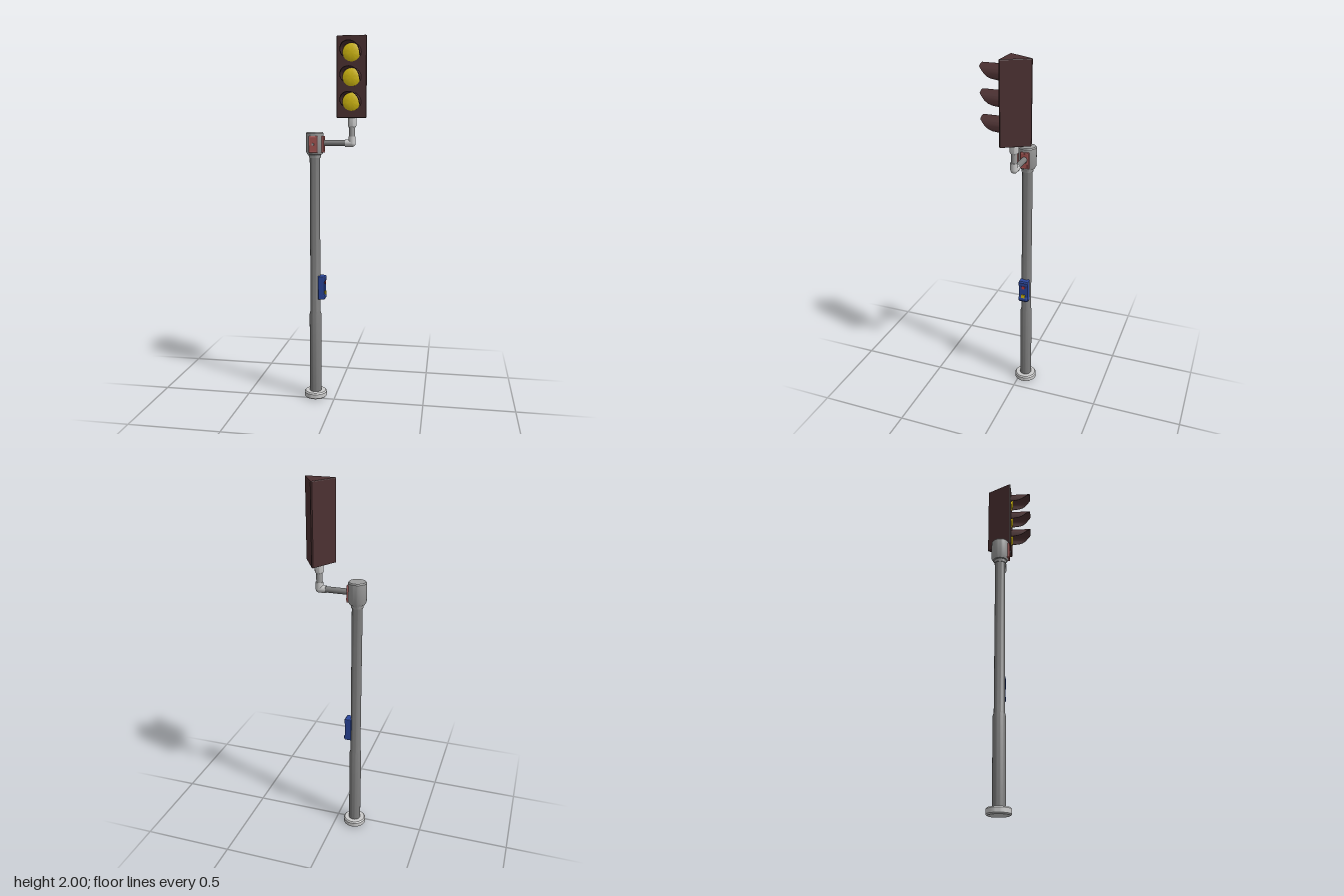
import * as THREE from 'three';
import { RoundedBoxGeometry } from 'three/addons/geometries/RoundedBoxGeometry.js';
import { toCreasedNormals } from 'three/addons/utils/BufferGeometryUtils.js';

const PX = -0.112, PZ = -0.036; // pole axis
const LX = 0.095;               // signal head centre

const mat = (color, extra = {}) => new THREE.MeshStandardMaterial({ color, ...extra });
const light = mat(0xcccccc), grey = mat(0x9c9c9c), dark = mat(0x7c7c7c);
const brown = mat(0x4b3031), brownThin = mat(0x4b3031, { side: THREE.DoubleSide });
const yellow = mat(0xdcc212), blue = mat(0x2b479c), red = mat(0xc83a40), pink = mat(0xbb6a68);

function add(parent, name, geometry, material, x = 0, y = 0, z = 0) {
  const mesh = new THREE.Mesh(geometry, material);
  mesh.name = name;
  mesh.position.set(x, y, z);
  parent.add(mesh);
  return mesh;
}

function lathe(points, segments = 40) {
  const g = new THREE.LatheGeometry(points.map(p => new THREE.Vector2(...p)), segments);
  return toCreasedNormals(g, 0.6);
}

// Hood: an arc of shell whose front edge is cut back towards its lower ends
function hoodGeometry() {
  const cut = [[0, 0.127], [43, 0.127], [60, 0.113], [82, 0.095], [100, 0.072], [108, 0.045], [112, 0.012]];
  const half = 14, pos = [], idx = [];
  for (let i = -half; i <= half; i++) {
    const deg = Math.abs(i) / half * 112;
    const k = Math.min(cut.findIndex(c => c[0] >= deg - 1e-6) || 1, cut.length - 1);
    const [a, b] = [cut[k - 1], cut[k]];
    const z = THREE.MathUtils.mapLinear(deg, a[0], b[0], a[1], b[1]);
    const t = i / half * 112 * Math.PI / 180;
    // loop of four: outer back, outer front, inner front, inner back
    for (const [r, zz] of [[0.051, 0.008], [0.051, z], [0.048, z], [0.048, 0.008]])
      pos.push(r * Math.sin(t), r * Math.cos(t), zz);
  }
  for (let i = 0; i < half * 2; i++)
    for (let j = 0; j < 4; j++) {
      const a = i * 4 + j, b = i * 4 + (j + 1) % 4;
      idx.push(a, b, a + 4, b, b + 4, a + 4);
    }
  const g = new THREE.BufferGeometry();
  g.setAttribute('position', new THREE.Float32BufferAttribute(pos, 3));
  g.setIndex(idx);
  return toCreasedNormals(g, 0.6);
}

// Small framed panel facing +z, with a button
function panel(name) {
  const g = new THREE.Group();
  g.name = name;
  add(g, 'panelFrame', new RoundedBoxGeometry(0.048, 0.09, 0.02, 2, 0.003), pink, 0, 0, 0.042);
  add(g, 'panelPlate', new THREE.BoxGeometry(0.034, 0.074, 0.004), mat(0xa85553), 0, 0, 0.052);
  const knob = add(g, 'panelButton', new THREE.CylinderGeometry(0.006, 0.007, 0.008, 16), grey, 0, 0, 0.057);
  knob.rotation.x = Math.PI / 2;
  return g;
}

function signalHead() {
  const head = new THREE.Group();
  head.name = 'signalHead';
  // Triangular housing with clipped corners and bevelled ends
  const s = new THREE.Shape([[0.004, 0.127], [-0.004, 0.127], [-0.08, -0.006], [-0.077, -0.012],
    [0.077, -0.012], [0.08, -0.006]].map(p => new THREE.Vector2(...p)));
  const housing = new THREE.ExtrudeGeometry(s, {
    depth: 0.415, bevelThickness: 0.005, bevelSize: 0.005, bevelOffset: -0.005, bevelSegments: 2 });
  housing.rotateX(-Math.PI / 2);
  add(head, 'housing', housing, brown, 0, 1.58, 0);
  // Lenses and hoods
  const lens = lathe([[0.047, 0], [0.047, 0.004], [0.036, 0.008], [0.02, 0.011], [0, 0.012]]);
  lens.rotateX(Math.PI / 2);
  const hood = hoodGeometry();
  for (const y of [1.659, 1.786, 1.913]) {
    add(head, 'lens', lens, yellow, 0, y, 0.01);
    add(head, 'hood', hood, brownThin, 0, y, 0);
  }
  head.position.x = LX;
  return head;
}

function callBox() {
  const box = new THREE.Group();
  box.name = 'callBox';
  // Side profile with a recessed middle
  const s = new THREE.Shape([[0, 0], [0.034, 0], [0.04, 0.008], [0.04, 0.022], [0.035, 0.032],
    [0.035, 0.098], [0.04, 0.108], [0.04, 0.124], [0.034, 0.132], [0, 0.132]].map(p => new THREE.Vector2(...p)));
  const g = new THREE.ExtrudeGeometry(s, {
    depth: 0.046, bevelThickness: 0.005, bevelSize: 0.005, bevelOffset: -0.005, bevelSegments: 2 });
  add(box, 'boxBody', g, blue, 0, 0, -0.023);
  const button = add(box, 'redButton', new THREE.CylinderGeometry(0.01, 0.01, 0.006, 20), red, 0.036, 0.094, 0);
  button.rotation.z = Math.PI / 2;
  add(box, 'yellowButton', new THREE.BoxGeometry(0.006, 0.02, 0.02), yellow, 0.037, 0.036, 0);
  box.position.set(-0.092, 0.574, PZ);
  return box;
}

export function createModel() {
  const model = new THREE.Group();
  model.name = 'trafficSignal';

  // Base and pole
  add(model, 'base', lathe([[0, 0], [0.056, 0], [0.063, 0.006], [0.063, 0.029], [0.057, 0.036], [0, 0.036]]),
    light, PX, 0, PZ);
  add(model, 'pole', lathe([[0, 0.03], [0.033, 0.03], [0.033, 0.485], [0.028, 0.503], [0.028, 1.39], [0, 1.39]]),
    dark, PX, 0, PZ);

  // Pole cap with two panels
  add(model, 'poleCap', lathe([[0, 1.362], [0.032, 1.362], [0.034, 1.378], [0.04, 1.38], [0.048, 1.395],
    [0.048, 1.494], [0.043, 1.5], [0, 1.5]]), grey, PX, 0, PZ);
  for (const [name, turn] of [['frontPanel', 0], ['sidePanel', Math.PI / 2]]) {
    const p = panel(name);
    p.position.set(PX, 1.435, PZ);
    p.rotation.y = turn;
    model.add(p);
  }

  // Arm, elbow and riser
  const EX = 0.092, AY = 1.441;
  const arm = add(model, 'arm', new THREE.CylinderGeometry(0.016, 0.016, 0.17, 24), dark, 0.01, AY, PZ);
  arm.rotation.z = Math.PI / 2;
  const sleeve = add(model, 'elbowSleeve', new THREE.CylinderGeometry(0.02, 0.02, 0.036, 24), light, EX - 0.018, AY, PZ);
  sleeve.rotation.z = Math.PI / 2;
  add(model, 'elbowJoint', new THREE.SphereGeometry(0.02, 24, 16), light, EX, AY, PZ);
  add(model, 'elbowRiser', new THREE.CylinderGeometry(0.02, 0.02, 0.036, 24), light, EX, AY + 0.018, PZ);
  add(model, 'riser', new THREE.CylinderGeometry(0.016, 0.016, 0.11, 24), grey, EX, 1.51, PZ);
  add(model, 'riserCollar', lathe([[0, 1.525], [0.018, 1.525], [0.023, 1.533], [0.023, 1.58], [0, 1.58]], 24),
    light, EX, 0, PZ);

  model.add(signalHead(), callBox());
  return model;
}
